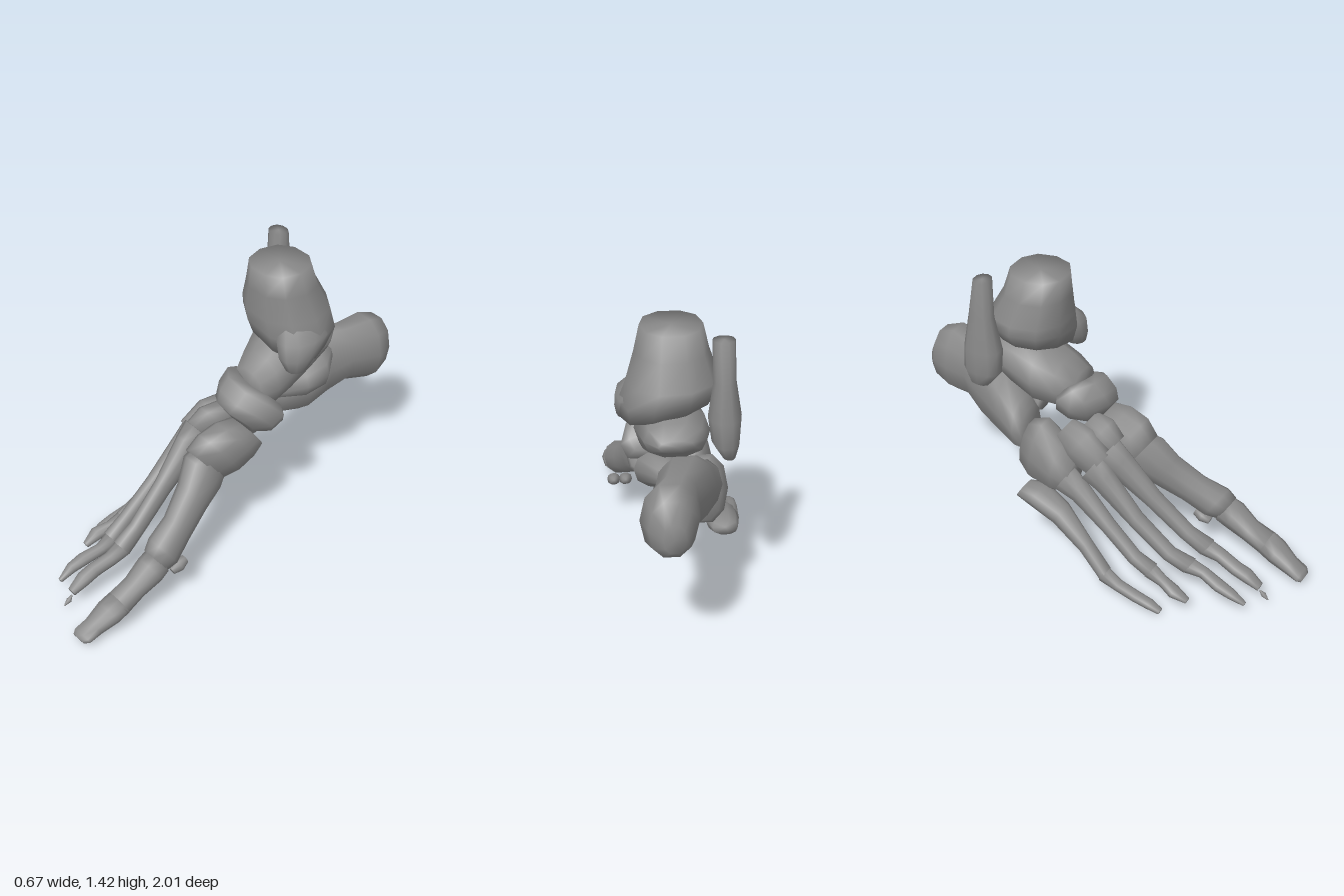
import * as THREE from 'three';

const material = new THREE.MeshStandardMaterial({ color: 0x8a8a8a });
const SIDES = 10;

// Smooth bone lofted through rings [x, y, z, halfWidth, halfHeight, slope].
// tilt (degrees) leans the rings: 0 runs toward +z, 90 runs straight down.
// slope lowers the +x side of a ring; bend sweeps the sides backward.
function bone(name, tilt, rings, bend = 0) {
  const t = THREE.MathUtils.degToRad(tilt);
  const soft = (v) => Math.sign(v) * Math.abs(v) ** 0.9;
  const pos = [], index = [];
  for (const [x, y, z, w, h, slope = 0] of rings) {
    for (let i = 0; i < SIDES; i++) {
      const a = (i / SIDES) * Math.PI * 2;
      const u = soft(Math.cos(a)) * w, v = soft(Math.sin(a)) * h;
      pos.push(x + u, y + v * Math.cos(t) - slope * u, z + v * Math.sin(t) - bend * u * u);
    }
  }
  for (let r = 0; r < rings.length - 1; r++) {
    for (let i = 0; i < SIDES; i++) {
      const a = r * SIDES + i, b = r * SIDES + (i + 1) % SIDES;
      index.push(a, b, b + SIDES, a, b + SIDES, a + SIDES);
    }
  }
  // End caps
  const last = (rings.length - 1) * SIDES, c = rings.length * SIDES;
  pos.push(...rings[0].slice(0, 3), ...rings[rings.length - 1].slice(0, 3));
  for (let i = 0; i < SIDES; i++) {
    const j = (i + 1) % SIDES;
    index.push(c, j, i, c + 1, last + i, last + j);
  }
  const g = new THREE.BufferGeometry();
  g.setAttribute('position', new THREE.Float32BufferAttribute(pos, 3));
  g.setIndex(index);
  g.computeVertexNormals();
  const mesh = new THREE.Mesh(g, material);
  mesh.name = name;
  return mesh;
}

function group(name, ...parts) {
  const g = new THREE.Group();
  g.name = name;
  g.add(...parts);
  return g;
}

export function createModel() {
  const model = group('footSkeleton',
    // Lower leg, cut off flat at the top
    group('tibia',
      bone('tibiaShaft', 90, [
        [0.06, 1.43, -0.35, 0.14, 0.14], [0.06, 1.32, -0.365, 0.165, 0.16],
        [0.06, 1.2, -0.395, 0.205, 0.195, 0.05], [0.075, 1.13, -0.4, 0.225, 0.195, 0.15],
        [0.08, 1.05, -0.38, 0.205, 0.15, 0.25]]),
      bone('innerAnkle', 90, [
        [0.18, 1.18, -0.36, 0.06, 0.1], [0.22, 1.11, -0.355, 0.088, 0.14],
        [0.235, 1.03, -0.315, 0.075, 0.1], [0.255, 0.97, -0.285, 0.045, 0.05]])),
    bone('fibula', 90, [
      [-0.15, 1.43, -0.53, 0.05, 0.042], [-0.155, 1.24, -0.54, 0.05, 0.062],
      [-0.157, 1.07, -0.535, 0.074, 0.095], [-0.162, 0.95, -0.54, 0.062, 0.095],
      [-0.175, 0.88, -0.55, 0.03, 0.05]]),

    // Ankle and heel
    bone('talus', 0, [
      [0.06, 0.98, -0.64, 0.08, 0.03], [0.06, 0.97, -0.56, 0.14, 0.085],
      [0.055, 0.95, -0.44, 0.16, 0.135], [0.055, 0.9, -0.32, 0.16, 0.15],
      [0.08, 0.86, -0.22, 0.14, 0.125], [0.09, 0.84, -0.14, 0.1, 0.095]]),
    group('heelBone',
      bone('heelBody', 0, [
        [0.1, 0.74, -1, 0.05, 0.07], [0.11, 0.765, -0.96, 0.1, 0.14],
        [0.11, 0.765, -0.87, 0.13, 0.175], [0.075, 0.76, -0.75, 0.105, 0.155],
        [0.03, 0.74, -0.62, 0.13, 0.19], [0.01, 0.69, -0.5, 0.145, 0.175],
        [-0.05, 0.64, -0.39, 0.12, 0.135], [-0.075, 0.63, -0.34, 0.09, 0.12]]),
      bone('heelShelf', 0, [
        [0.08, 0.83, -0.64, 0.06, 0.05], [0.14, 0.81, -0.52, 0.1, 0.09],
        [0.11, 0.77, -0.42, 0.1, 0.085], [0.05, 0.72, -0.34, 0.06, 0.05]])),

    // Midfoot
    bone('navicular', 35, [
      [0.1, 0.82, -0.16, 0.14, 0.1, 0.2], [0.105, 0.795, -0.12, 0.175, 0.13, 0.2],
      [0.105, 0.755, -0.06, 0.17, 0.115, 0.2], [0.1, 0.735, -0.02, 0.12, 0.08, 0.2]], 2.5),
    bone('cuboid', 10, [
      [-0.09, 0.56, -0.345, 0.08, 0.13], [-0.1, 0.55, -0.27, 0.11, 0.175],
      [-0.11, 0.5, -0.15, 0.105, 0.14], [-0.12, 0.475, -0.07, 0.085, 0.09]]),
    bone('innerCuneiform', 35, [
      [0.15, 0.65, -0.08, 0.09, 0.1], [0.145, 0.63, -0.01, 0.105, 0.14],
      [0.135, 0.59, 0.08, 0.105, 0.155], [0.12, 0.55, 0.16, 0.09, 0.125]]),
    bone('middleCuneiform', 35, [
      [0.02, 0.7, -0.08, 0.06, 0.07], [0.005, 0.67, 0, 0.075, 0.1],
      [-0.01, 0.63, 0.08, 0.06, 0.08]]),
    bone('outerCuneiform', 35, [
      [-0.05, 0.67, -0.17, 0.06, 0.07], [-0.07, 0.63, -0.07, 0.08, 0.11],
      [-0.09, 0.57, 0.05, 0.06, 0.09]]));

  // Big toe
  model.add(group('bigToe',
    bone('bigMetatarsal', 33, [
      [0.12, 0.56, 0.12, 0.085, 0.11], [0.135, 0.525, 0.18, 0.1, 0.125],
      [0.17, 0.45, 0.27, 0.083, 0.093], [0.215, 0.36, 0.4, 0.073, 0.08],
      [0.245, 0.3, 0.51, 0.083, 0.085], [0.255, 0.275, 0.56, 0.068, 0.065]]),
    bone('bigNearPhalanx', 27, [
      [0.255, 0.27, 0.55, 0.07, 0.065], [0.26, 0.245, 0.6, 0.074, 0.065],
      [0.258, 0.19, 0.69, 0.062, 0.05], [0.26, 0.145, 0.79, 0.068, 0.05]]),
    bone('bigTipPhalanx', 25, [
      [0.26, 0.15, 0.78, 0.068, 0.052], [0.255, 0.12, 0.84, 0.07, 0.05],
      [0.245, 0.075, 0.92, 0.053, 0.038], [0.24, 0.05, 0.98, 0.058, 0.025],
      [0.235, 0.04, 1, 0.04, 0.014]]),
    ...[0.225, 0.285].map((x) => bone('sesamoid', 20, [
      [x, 0.22, 0.41, 0.02, 0.02], [x, 0.205, 0.45, 0.033, 0.03],
      [x, 0.19, 0.49, 0.02, 0.018]]))));

  // Lesser toes: metatarsal rings, then phalanx rings
  const toes = {
    second: [35, [
      [-0.035, 0.61, 0.06, 0.072, 0.085], [-0.03, 0.56, 0.13, 0.06, 0.075],
      [-0.012, 0.41, 0.3, 0.042, 0.048], [0.008, 0.26, 0.48, 0.038, 0.042],
      [0.02, 0.205, 0.58, 0.047, 0.045]], [
      [0.02, 0.205, 0.57, 0.045, 0.04], [0.025, 0.18, 0.65, 0.036, 0.032],
      [0.01, 0.15, 0.74, 0.036, 0.032], [0.01, 0.13, 0.8, 0.038, 0.03],
      [0.01, 0.09, 0.87, 0.025, 0.016]]],
    third: [33, [
      [-0.105, 0.55, 0.02, 0.062, 0.085], [-0.11, 0.5, 0.09, 0.052, 0.068],
      [-0.12, 0.345, 0.27, 0.04, 0.043], [-0.118, 0.21, 0.45, 0.037, 0.039],
      [-0.1, 0.165, 0.55, 0.044, 0.042]], [
      [-0.1, 0.165, 0.54, 0.042, 0.037], [-0.09, 0.145, 0.62, 0.03, 0.027],
      [-0.11, 0.12, 0.71, 0.034, 0.027], [-0.115, 0.1, 0.78, 0.028, 0.022],
      [-0.11, 0.065, 0.85, 0.012, 0.01]]],
    fourth: [32, [
      [-0.155, 0.47, -0.1, 0.062, 0.075], [-0.165, 0.43, -0.01, 0.05, 0.058],
      [-0.187, 0.305, 0.16, 0.037, 0.041], [-0.203, 0.19, 0.31, 0.035, 0.037],
      [-0.2, 0.145, 0.4, 0.04, 0.038]], [
      [-0.2, 0.145, 0.39, 0.04, 0.036], [-0.215, 0.12, 0.47, 0.028, 0.027],
      [-0.235, 0.1, 0.54, 0.036, 0.027], [-0.23, 0.07, 0.61, 0.018, 0.012]]],
    little: [27, [
      [-0.195, 0.36, -0.31, 0.06, 0.035], [-0.19, 0.35, -0.23, 0.078, 0.055],
      [-0.212, 0.3, -0.09, 0.058, 0.056], [-0.253, 0.2, 0.07, 0.037, 0.042],
      [-0.288, 0.1, 0.2, 0.037, 0.038]], [
      [-0.288, 0.1, 0.19, 0.038, 0.037], [-0.303, 0.075, 0.28, 0.029, 0.028],
      [-0.31, 0.055, 0.38, 0.029, 0.026], [-0.31, 0.04, 0.45, 0.028, 0.023],
      [-0.31, 0.02, 0.51, 0.018, 0.014]]],
  };
  for (const [name, [tilt, metatarsal, phalanges]] of Object.entries(toes)) {
    model.add(group(name + 'Toe',
      bone(name + 'Metatarsal', tilt, metatarsal),
      bone(name + 'Phalanges', 20, phalanges)));
  }
  // Loose tip of the second toe
  model.add(bone('secondToeTip', 45, [
    [0.01, 0.07, 0.87, 0.003, 0.003], [0.012, 0.05, 0.89, 0.013, 0.012],
    [0.01, 0.03, 0.915, 0.003, 0.003]]));
  return model;
}
